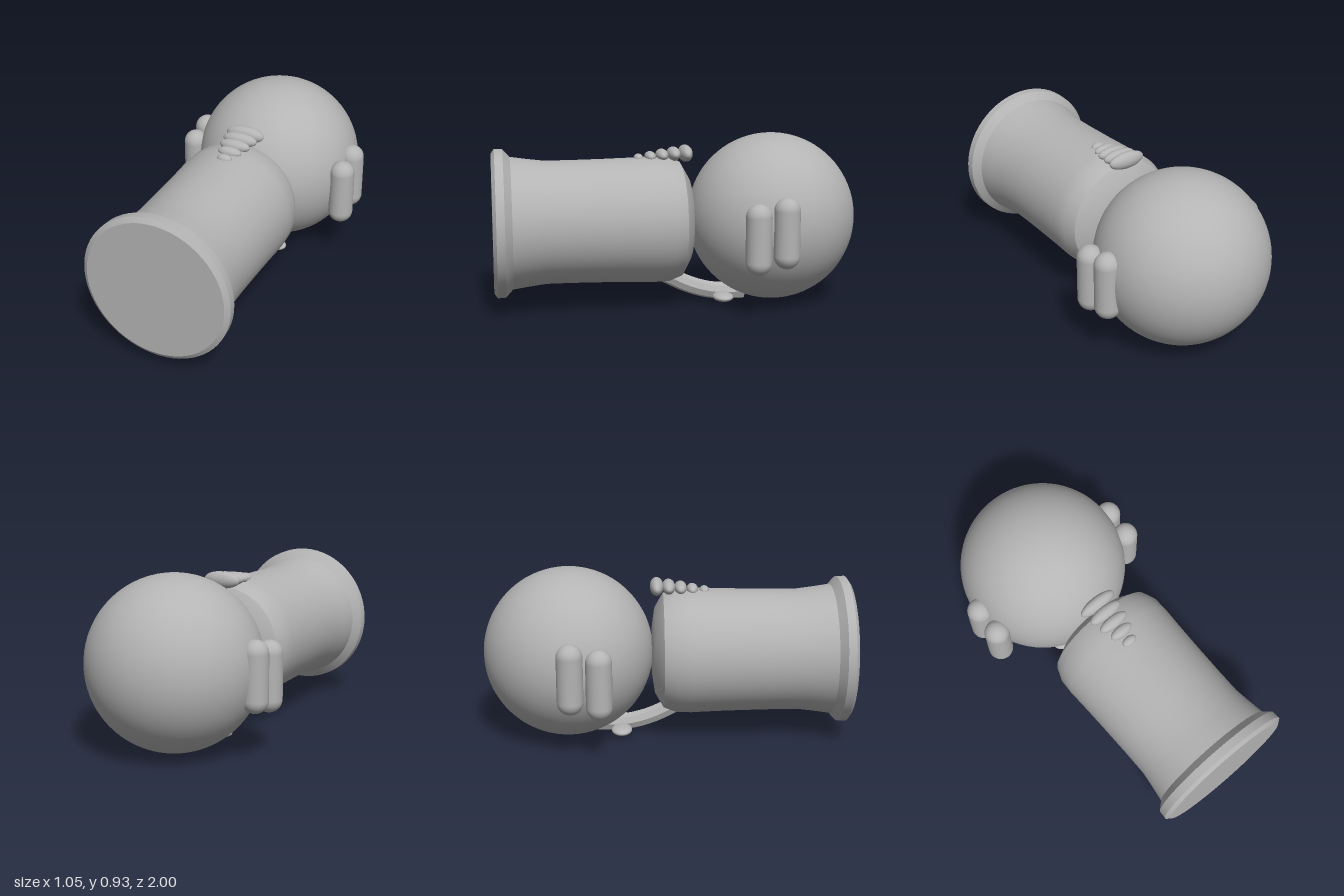
import * as THREE from 'three';
import { toCreasedNormals } from 'three/addons/utils/BufferGeometryUtils.js';

export function createModel() {
  const model = new THREE.Group();
  const grey = new THREE.MeshStandardMaterial({ color: 0xb4b4b4 });
  grey.name = 'plain grey';

  const add = (name, geometry, x = 0, y = 0, z = 0) => {
    const mesh = new THREE.Mesh(geometry, grey);
    mesh.name = name;
    mesh.position.set(x, y, z);
    model.add(mesh);
    return mesh;
  };
  const ellipsoid = (rx, ry, rz) => new THREE.SphereGeometry(1, 32, 20).scale(rx, ry, rz);

  // Round head at the back
  add('head', new THREE.SphereGeometry(0.463, 64, 40), 0, 0.475, -0.537);

  // Barrel body lying along z, with a flared rim and flat front face
  const profile = [
    [0, -0.085], [0.13, -0.08], [0.235, -0.065], [0.317, -0.018], [0.343, 0.05],
    [0.346, 0.13], [0.341, 0.25], [0.337, 0.4], [0.334, 0.58], [0.334, 0.72],
    [0.345, 0.81], [0.358, 0.9], [0.4, 0.938], [0.402, 0.982], [0.376, 1], [0, 1],
  ].map(([r, y]) => new THREE.Vector2(r, y));
  const body = new THREE.LatheGeometry(profile, 64).rotateX(Math.PI / 2);
  add('body', toCreasedNormals(body, 0.55), 0, 0.471, 0);

  // Pairs of upright rounded bars on each side of the head
  for (const side of [1, -1]) {
    const label = side > 0 ? 'left' : 'right';
    add(label + 'FrontBar', new THREE.CapsuleGeometry(0.069, 0.24, 10, 28), side * 0.457, 0.425, -0.362);
    add(label + 'BackBar', new THREE.CapsuleGeometry(0.069, 0.24, 10, 28), side * 0.457, 0.455, -0.512);

    // Small flat fins on the lower stalk
    add(label + 'Fin', ellipsoid(0.08, 0.024, 0.057), side * 0.092, 0.04, -0.25);
  }

  // Row of shrinking crest beads on top: z, y, half width, half height, half depth
  [
    [-0.053, 0.833, 0.108, 0.046, 0.037],
    [0.012, 0.831, 0.097, 0.038, 0.036],
    [0.077, 0.825, 0.086, 0.034, 0.034],
    [0.141, 0.818, 0.066, 0.029, 0.031],
    [0.206, 0.811, 0.042, 0.024, 0.026],
  ].forEach(([z, y, rx, ry, rz], i) => add('crestBead' + (i + 1), ellipsoid(rx, ry, rz), 0, y, z));

  // Curved faceted stalk under the neck
  const path = new THREE.CatmullRomCurve3([
    [0.07, 0.165], [-0.08, 0.093], [-0.21, 0.058], [-0.385, 0.052],
  ].map(([z, y]) => new THREE.Vector3(0, y, z)));
  const stalk = new THREE.TubeGeometry(path, 12, 0.048, 8);
  add('stalk', toCreasedNormals(stalk, 0.5));
  // End caps of the stalk
  const capFront = new THREE.CircleGeometry(0.047, 8);
  const front = add('stalkFrontCap', capFront, 0, 0.165, 0.07);
  front.lookAt(path.getPoint(0).sub(path.getTangent(0)));
  const back = add('stalkBackCap', capFront, 0, 0.052, -0.385);
  back.lookAt(path.getPoint(1).add(path.getTangent(1)));

  return model;
}
